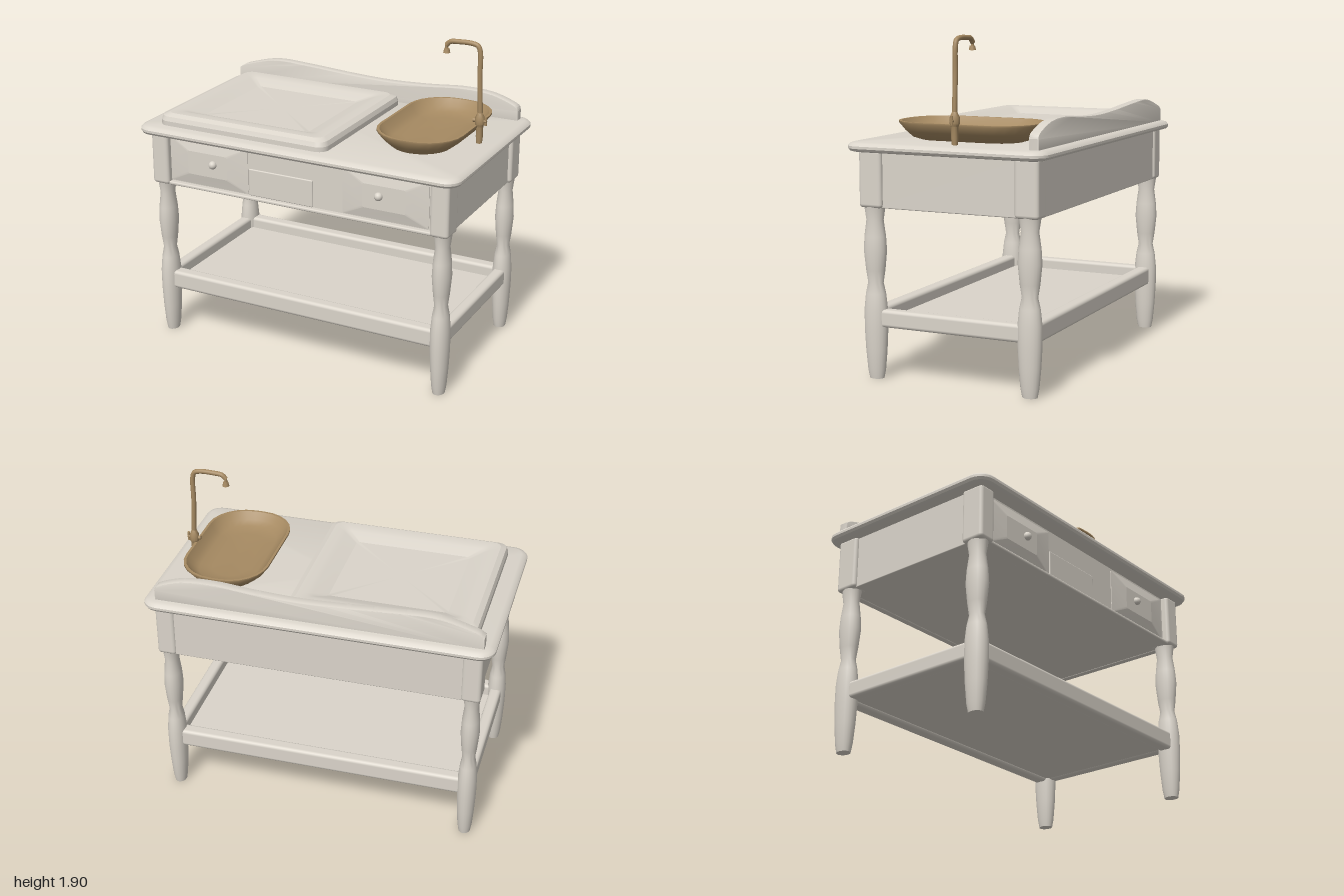
import * as THREE from 'three';
import { toCreasedNormals } from 'three/addons/utils/BufferGeometryUtils.js';
import { RoundedBoxGeometry } from 'three/addons/geometries/RoundedBoxGeometry.js';

// Point loop of a rounded rectangle at height y
function roundedLoop([hx, hz, r, y], seg = 6) {
  const pts = [];
  for (let q = 0; q < 4; q++) {
    const sx = q === 0 || q === 3 ? 1 : -1;
    const sz = q < 2 ? 1 : -1;
    for (let i = 0; i <= seg; i++) {
      const a = (q + i / seg) * Math.PI / 2;
      pts.push([sx * (hx - r) + r * Math.cos(a), y, sz * (hz - r) + r * Math.sin(a)]);
    }
  }
  return pts;
}

// Closed solid through rounded rectangles [halfX, halfZ, radius, y]
function loft(rings, crease = 0.6) {
  const loops = rings.map((r) => roundedLoop(r));
  const n = loops[0].length;
  const pos = loops.flat(2);
  const index = [];
  for (let k = 0; k < loops.length - 1; k++) {
    for (let i = 0; i < n; i++) {
      const a = k * n + i, b = k * n + (i + 1) % n;
      index.push(a, a + n, b, b, a + n, b + n);
    }
  }
  const last = (loops.length - 1) * n, c = loops.length * n;
  pos.push(0, rings[0][3], 0, 0, rings.at(-1)[3], 0);
  for (let i = 0; i < n; i++) {
    const j = (i + 1) % n;
    index.push(c, i, j, c + 1, last + j, last + i);
  }
  const g = new THREE.BufferGeometry();
  g.setAttribute('position', new THREE.Float32BufferAttribute(pos, 3));
  g.setIndex(index);
  return toCreasedNormals(g, crease);
}

export function createModel() {
  const model = new THREE.Group();
  const paint = new THREE.MeshStandardMaterial({ color: 0xdad4ca });
  paint.name = 'off-white paint';
  const bronze = new THREE.MeshStandardMaterial({ color: 0xa68a62 });
  bronze.name = 'bronze';

  const add = (name, geo, mat, x = 0, y = 0, z = 0, parent = model) => {
    const m = new THREE.Mesh(geo, mat);
    m.name = name;
    m.position.set(x, y, z);
    parent.add(m);
    return m;
  };
  const box = (name, w, h, d, x, y, z, r = 0.012) =>
    add(name, new RoundedBoxGeometry(w, h, d, 2, r), paint, x, y, z);

  // Turned legs with square upper blocks
  const profile = [[0, 0], [0.034, 0], [0.042, 0.05], [0.05, 0.16], [0.055, 0.28], [0.055, 0.39],
    [0.047, 0.48], [0.036, 0.54], [0.045, 0.61], [0.054, 0.72], [0.05, 0.8], [0.04, 0.89],
    [0.05, 0.97], [0, 0.97]].map(([r, y]) => new THREE.Vector2(r, y));
  const legGeo = toCreasedNormals(new THREE.LatheGeometry(profile, 20), 0.7);
  for (const x of [-0.882, 0.882]) {
    for (const z of [0.458, -0.477]) {
      add('leg', legGeo, paint, x, 0, z).scale.z = 1.25;
      box('legBlock', 0.11, 0.32, 0.14, x, 1.12, z, 0.02);
    }
  }

  // Apron with a closed underside
  box('backApron', 1.76, 0.32, 0.04, 0, 1.12, -0.515, 0.006);
  box('frontApron', 1.76, 0.32, 0.04, 0, 1.12, 0.465, 0.006);
  for (const x of [-0.895, 0.895]) box('sideApron', 0.04, 0.32, 0.9, x, 1.12, -0.01, 0.006);
  box('apronBottom', 1.78, 0.02, 0.98, 0, 0.975, -0.02, 0.005);
  box('frontLowerRail', 1.7, 0.02, 0.05, 0, 0.97, 0.49, 0.008);

  // Bevelled drawer fronts with knobs, and a plain centre panel
  const drawerGeo = loft([[0.26, 0.135, 0.01, 0], [0.26, 0.135, 0.01, 0.004], [0.13, 0.07, 0.01, 0.022]], 0.1);
  for (const x of [-0.57, 0.55]) {
    add('drawerFront', drawerGeo, paint, x, 1.12, 0.485).rotation.x = Math.PI / 2;
  }
  for (const x of [-0.53, 0.52]) {
    add('knob', new THREE.SphereGeometry(0.024, 14, 10), paint, x, 1.13, 0.512);
  }
  box('centrePanel', 0.41, 0.16, 0.02, -0.1, 1.06, 0.482, 0.006);

  // Lower shelf framed by rails
  for (const z of [0.46, -0.477]) box('longRail', 1.7, 0.11, 0.08, 0, 0.34, z, 0.02);
  for (const x of [-0.882, 0.882]) box('shortRail', 0.07, 0.1, 0.86, x, 0.345, -0.01, 0.02);
  box('shelf', 1.74, 0.025, 0.92, 0, 0.315, -0.008, 0.005);

  // Table top with moulded edge
  add('tableTop', loft([[0.965, 0.56, 0.06, 1.268], [0.99, 0.585, 0.08, 1.275], [1, 0.595, 0.09, 1.288],
    [1, 0.595, 0.09, 1.302], [0.988, 0.583, 0.08, 1.316], [0.965, 0.56, 0.06, 1.323]]), paint, 0, 0, -0.005);

  // Raised board with a flat sunken centre
  add('raisedBoard', loft([[0.54, 0.5, 0.06, 1.315], [0.54, 0.5, 0.06, 1.35], [0.53, 0.49, 0.055, 1.375],
    [0.5, 0.46, 0.05, 1.39], [0.45, 0.41, 0.04, 1.39], [0.42, 0.38, 0.03, 1.382],
    [0.34, 0.31, 0.02, 1.355]], 0.3), paint, -0.35, 0, 0.015);

  // Wavy splashback
  const wave = new THREE.Shape();
  wave.moveTo(-0.935, 1.31);
  wave.lineTo(0.925, 1.31);
  wave.lineTo(0.925, 1.38);
  wave.splineThru([[0.9, 1.41], [0.76, 1.455], [0.58, 1.465], [0.35, 1.447], [0.1, 1.437], [-0.15, 1.444],
    [-0.45, 1.462], [-0.68, 1.467], [-0.88, 1.418], [-0.935, 1.39]].map(([x, y]) => new THREE.Vector2(x, y)));
  wave.closePath();
  add('splashback', toCreasedNormals(new THREE.ExtrudeGeometry(wave, {
    depth: 0.044, bevelEnabled: true, bevelThickness: 0.006, bevelSize: 0.005, bevelSegments: 2, curveSegments: 40,
  }), 0.6), paint, 0, 0, -0.54);

  // Shallow oval basin, outside then inside
  add('basin', loft([[0.13, 0.3, 0.13, 1.325], [0.17, 0.35, 0.17, 1.34], [0.215, 0.385, 0.21, 1.375],
    [0.248, 0.412, 0.22, 1.42], [0.248, 0.412, 0.22, 1.43], [0.234, 0.398, 0.21, 1.43],
    [0.205, 0.365, 0.19, 1.39], [0.17, 0.33, 0.16, 1.368], [0.1, 0.25, 0.1, 1.36]], 0.8), bronze, 0.618, 0, -0.01);

  // Tap: stem, spout, base collars and lever
  const tap = new THREE.Group();
  tap.name = 'tap';
  tap.position.set(0.875, 0, -0.035);
  model.add(tap);
  const path = new THREE.CatmullRomCurve3([[0, 1.36], [0, 1.5], [-0.01, 1.7], [-0.012, 1.84], [-0.025, 1.875],
    [-0.06, 1.886], [-0.14, 1.886], [-0.19, 1.88], [-0.212, 1.858]].map(([x, y]) => new THREE.Vector3(x, y, 0)));
  add('spout', new THREE.TubeGeometry(path, 64, 0.014, 10), bronze, 0, 0, 0, tap);
  add('nozzle', new THREE.CylinderGeometry(0.014, 0.02, 0.025, 12), bronze, -0.21, 1.828, 0, tap);
  add('nozzleNeck', new THREE.CylinderGeometry(0.009, 0.009, 0.04, 8), bronze, -0.211, 1.848, 0, tap);
  const collar = [[0, 1.32], [0.016, 1.32], [0.02, 1.36], [0.02, 1.42], [0.027, 1.435],
    [0.027, 1.47], [0.014, 1.5], [0, 1.5]].map(([r, y]) => new THREE.Vector2(r, y));
  add('tapBase', toCreasedNormals(new THREE.LatheGeometry(collar, 14), 0.6), bronze, 0, 0, 0, tap);
  const lever = add('lever', new THREE.CylinderGeometry(0.012, 0.009, 0.08, 10), bronze, 0, 1.453, 0, tap);
  lever.rotation.z = Math.PI / 2;
  add('leverKnob', new THREE.CylinderGeometry(0.008, 0.008, 0.05, 8), bronze, 0.034, 1.455, 0, tap);

  return model;
}
